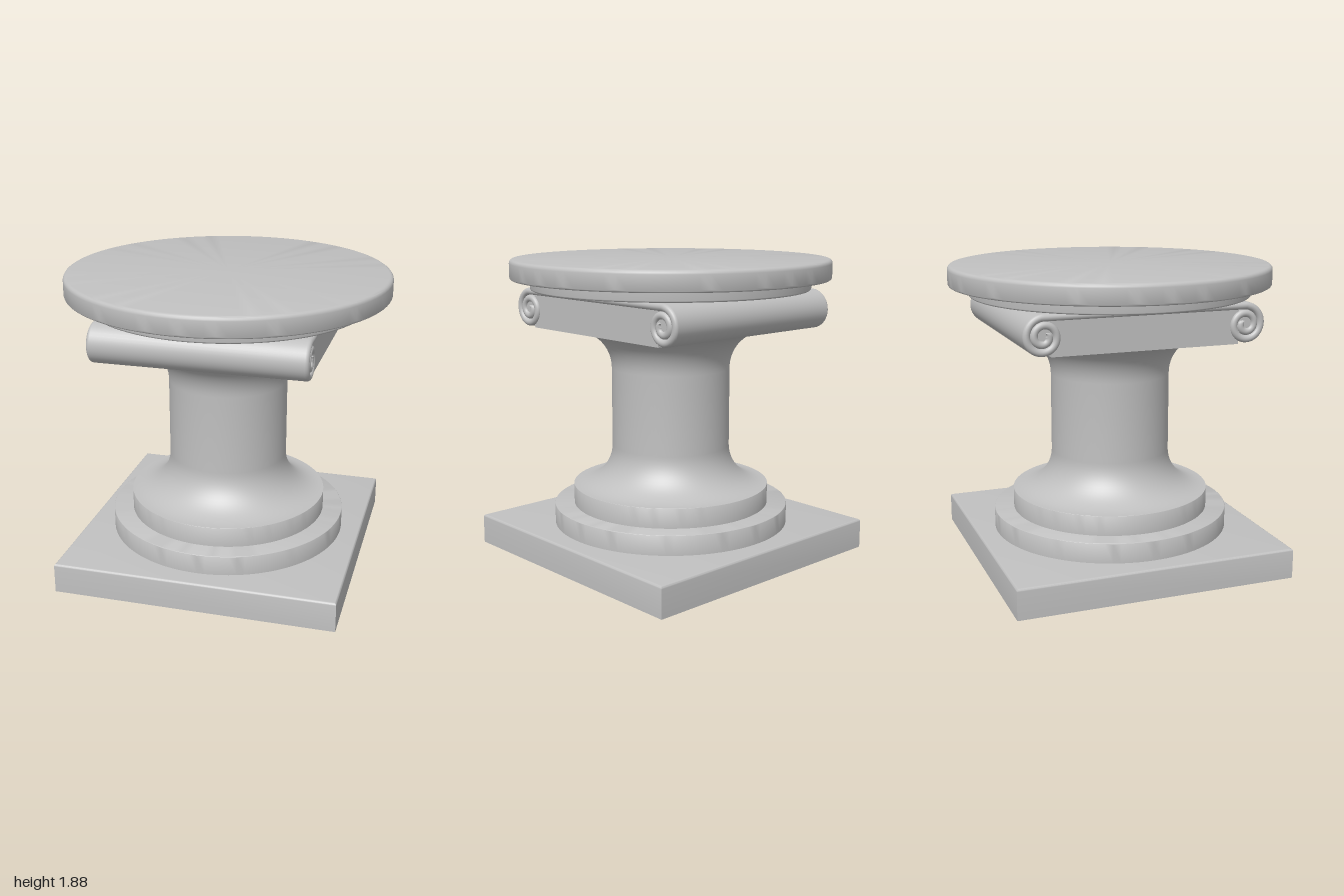
import * as THREE from 'three';
import { toCreasedNormals } from 'three/addons/utils/BufferGeometryUtils.js';

const stone = new THREE.MeshStandardMaterial({ color: 0xc0c0c0 });
stone.name = 'grey stone';

// Quarter arc as profile points
function arc(cx, cy, r, from, to, steps) {
  return Array.from({ length: steps + 1 }, (_, i) => {
    const a = (from + (to - from) * i / steps) * Math.PI / 180;
    return [cx + r * Math.cos(a), cy + r * Math.sin(a)];
  });
}

function lathe(profile, segments = 96, crease = 0.6) {
  const points = profile.map(([x, y]) => new THREE.Vector2(Math.max(x, 0), y));
  return toCreasedNormals(new THREE.LatheGeometry(points, segments), crease);
}

// Solid disc with optional rounded lower and upper rims
function disc(r, y0, y1, low, high) {
  const bottom = low ? arc(r - low, y0 + low, low, -90, 0, 4) : [[r, y0]];
  const top = high ? arc(r - high, y1 - high, high, 0, 90, 4) : [[r, y1]];
  return lathe([[0, y0], ...bottom, ...top, [0, y1]]);
}

// Band swept along a bar that curls into a spiral at both ends
function scrollGeometry() {
  const halfX = 0.65, t = 0.0225, cz = 0.624, cy = 1.557, r0 = 0.1105, r1 = 0.024;
  const sweep = (r0 - r1) / (2 * t) * Math.PI * 2, steps = 80;
  const curl = [];
  for (let i = 0; i <= steps; i++) {
    const a = sweep * i / steps, r = r0 - 2 * t * a / (Math.PI * 2);
    curl.push([cz + r * Math.sin(a), cy + r * Math.cos(a)]);
  }
  const path = [...curl.map(([z, y]) => [-z, y]).reverse(), ...curl];
  const section = [...arc(halfX - t, 0, t, -90, 90, 8), ...arc(-halfX + t, 0, t, 90, 270, 8)];
  const n = section.length, pos = [], index = [];
  path.forEach(([z, y], i) => {
    const a = path[Math.max(i - 1, 0)], b = path[Math.min(i + 1, path.length - 1)];
    const len = Math.hypot(b[0] - a[0], b[1] - a[1]);
    const ny = (b[0] - a[0]) / len, nz = -(b[1] - a[1]) / len;
    const taper = Math.min(1, 0.05 + Math.min(i, path.length - 1 - i) / 6);
    for (const [x, off] of section) pos.push(x, y + ny * off * taper, z + nz * off * taper);
    if (i === path.length - 1) return;
    for (let j = 0; j < n; j++) {
      const p = i * n + j, q = i * n + (j + 1) % n;
      index.push(p, q, p + n, q, q + n, p + n);
    }
  });
  const g = new THREE.BufferGeometry();
  g.setAttribute('position', new THREE.Float32BufferAttribute(pos, 3));
  g.setIndex(index);
  g.computeVertexNormals();
  return g;
}

export function createModel() {
  const model = new THREE.Group();
  model.name = 'pedestal';
  const add = (name, geometry) => {
    const mesh = new THREE.Mesh(geometry, stone);
    mesh.name = name;
    model.add(mesh);
    return mesh;
  };

  // Square plinth with softened top edges
  const k = Math.SQRT2;
  const plinth = [[0, 0], [0.875, 0], ...arc(0.86, 0.175, 0.015, 0, 90, 4), [0, 0.19]]
    .map(([x, y]) => [x * k, y]);
  add('plinth', lathe(plinth, 4)).rotation.y = Math.PI / 4;

  // Round steps
  add('lowerStep', disc(0.75, 0.19, 0.315, 0, 0.004));
  add('upperStep', disc(0.625, 0.315, 0.44, 0, 0.004));

  // Shaft flaring out at both ends
  add('shaft', lathe([
    ...arc(0.625, 0.69, 0.25, 270, 180, 16),
    ...arc(0.625, 1.19, 0.25, 180, 90, 16),
  ]));

  // Capital: block, rolled scroll band and the cores of the rolls
  const block = new THREE.BoxGeometry(1.26, 0.22, 1.16);
  block.translate(0, 1.55, 0);
  add('capitalBlock', block);
  add('scrollBand', scrollGeometry());
  for (const side of [-1, 1]) {
    const core = new THREE.CylinderGeometry(0.06, 0.06, 1.27, 24);
    core.rotateZ(Math.PI / 2).translate(0, 1.557, side * 0.624);
    add('scrollCore', core);
  }

  // Round top
  add('underPlate', disc(0.875, 1.69, 1.765, 0.01, 0));
  add('topPlate', disc(1, 1.755, 1.88, 0.015, 0.025));
  return model;
}
